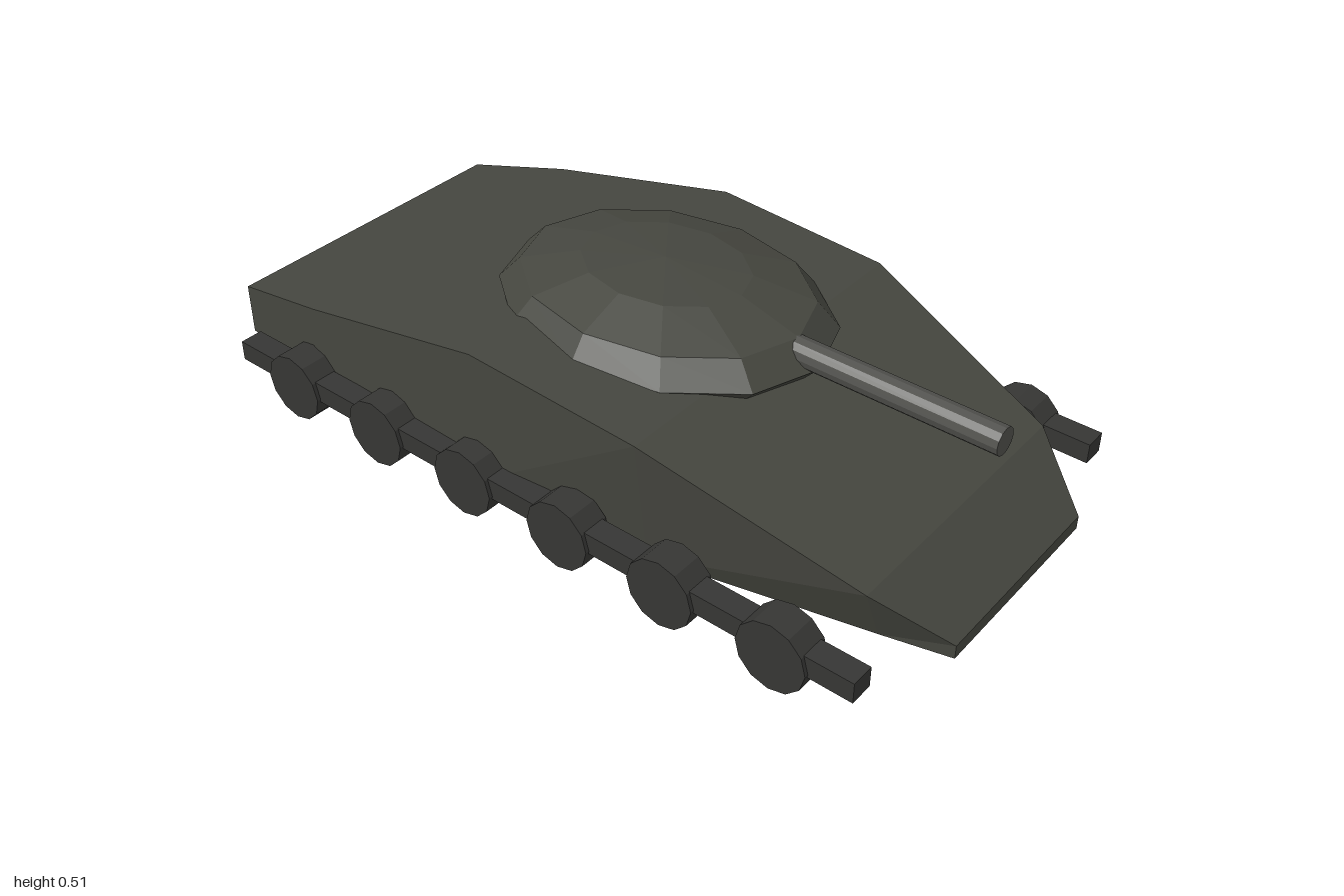
import * as THREE from 'three';

const paint = (color) => new THREE.MeshStandardMaterial({ color, flatShading: true });

// Faceted hull lofted through stations: [z, top half width, bottom half width, top y, bottom y]
function hullGeometry() {
  const stations = [
    [1.0, 0.26, 0.26, 0.09, 0.055],
    [0.84, 0.36, 0.30, 0.205, 0.055],
    [0.32, 0.46, 0.42, 0.385, 0.055],
    [-0.15, 0.465, 0.465, 0.41, 0.055],
    [-0.70, 0.45, 0.45, 0.29, 0.07],
    [-1.0, 0.415, 0.415, 0.215, 0.08],
  ];
  const rings = stations.map(([z, wt, wb, t, b]) => [[wb, b, z], [wt, t, z], [-wt, t, z], [-wb, b, z]]);
  const pos = [];
  const tri = (...corners) => corners.forEach((c) => pos.push(...c));
  for (let s = 0; s < rings.length - 1; s++) {
    const f = rings[s], k = rings[s + 1];
    for (let i = 0; i < 4; i++) {
      const j = (i + 1) % 4;
      // mirror the diagonal so both sides match
      if (i === 0) { tri(f[i], k[i], f[j]); tri(k[i], k[j], f[j]); }
      else { tri(f[i], k[i], k[j]); tri(f[i], k[j], f[j]); }
    }
  }
  // nose and stern plates
  const n = rings[0], e = rings[rings.length - 1];
  tri(n[0], n[1], n[2]); tri(n[0], n[2], n[3]);
  tri(e[0], e[2], e[1]); tri(e[0], e[3], e[2]);
  const geo = new THREE.BufferGeometry();
  geo.setAttribute('position', new THREE.Float32BufferAttribute(pos, 3));
  geo.computeVertexNormals();
  return geo;
}

export function createModel() {
  const model = new THREE.Group();
  model.name = 'tank';
  const armour = paint(0x45463f), steel = paint(0x50504c), running = paint(0x363634);
  const add = (parent, name, geo, mat, x, y, z) => {
    const mesh = new THREE.Mesh(geo, mat);
    mesh.name = name;
    mesh.position.set(x, y, z);
    parent.add(mesh);
    return mesh;
  };

  add(model, 'hull', hullGeometry(), armour, 0, 0, 0);

  // flattened dome turret
  const dome = new THREE.SphereGeometry(1, 12, 6).scale(0.332, 0.12, 0.433);
  add(model, 'turret', dome, armour, 0, 0.39, 0.03);

  // gun, its rear end buried in the turret
  const gun = new THREE.CylinderGeometry(0.034, 0.034, 0.62, 12).rotateX(Math.PI / 2);
  add(model, 'gunBarrel', gun, steel, 0, 0.418, 0.61);

  // running gear: a long beam and six road wheels on each side
  const wheelGeo = new THREE.CylinderGeometry(0.0875, 0.0875, 0.08, 12).rotateZ(Math.PI / 2);
  const beamGeo = new THREE.BoxGeometry(0.06, 0.053, 1.84);
  for (const side of [1, -1]) {
    const gear = new THREE.Group();
    gear.name = side > 0 ? 'leftRunningGear' : 'rightRunningGear';
    add(gear, 'trackBeam', beamGeo, running, side * 0.484, 0.106, 0);
    for (let i = 0; i < 6; i++) {
      add(gear, 'roadWheel', wheelGeo, running, side * 0.484, 0.0875, 0.725 - i * 0.289);
    }
    model.add(gear);
  }
  return model;
}
